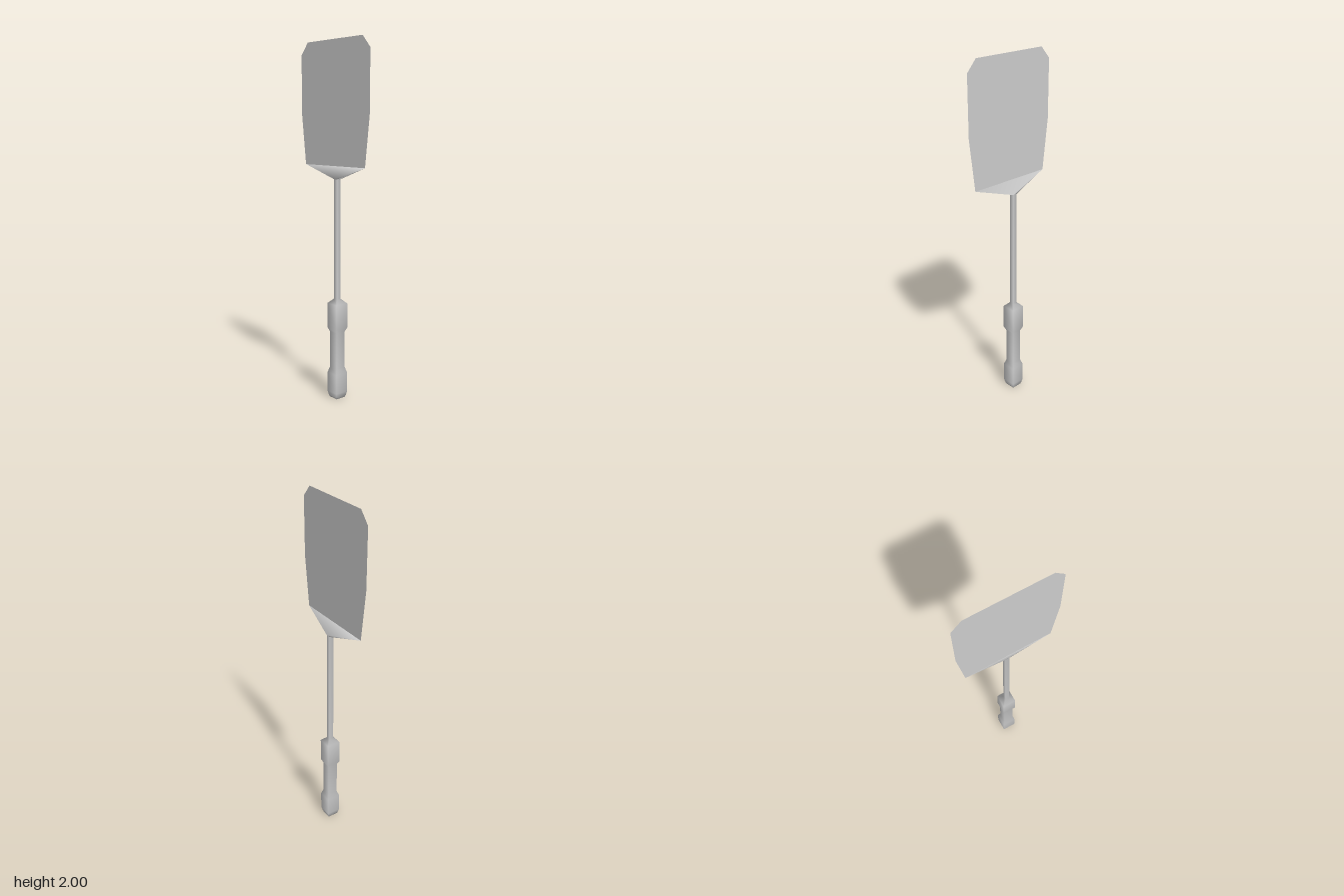
import * as THREE from 'three';

const material = new THREE.MeshStandardMaterial({ color: 0xcccccc });
const sheetMaterial = new THREE.MeshStandardMaterial({ color: 0xcccccc, side: THREE.DoubleSide });

// Square bar with softly shaded corners; profile is [half width, height]
function squareBar(name, profile) {
  const points = profile.map(([half, y]) => new THREE.Vector2(half * Math.SQRT2, y));
  const mesh = new THREE.Mesh(new THREE.LatheGeometry(points, 4, Math.PI / 4), material);
  mesh.name = name;
  return mesh;
}

export function createModel() {
  const group = new THREE.Group();
  group.name = 'spatula';

  // Grip with two swellings and a narrow waist, running on into the thin shaft
  group.add(squareBar('handleAndShaft', [
    [0, 0], [0.03, 0], [0.034, 0.01], [0.04, 0.035], [0.04, 0.145], [0.029, 0.18],
    [0.029, 0.385], [0.04, 0.41], [0.04, 0.55], [0.013, 0.577], [0.013, 1.25],
  ]));

  // Flat, paper-thin blade with cut corners
  const bladeX = -0.023, wingZ = 0.25, wingY = 1.323;
  const half = [[wingZ, wingY], [0.285, 1.61], [0.285, 1.935], [0.227, 2]];
  const outline = [...half, ...half.map(([z, y]) => [-z, y]).reverse()];
  const bladeShape = new THREE.Shape(outline.map(([z, y]) => new THREE.Vector2(z, y)));
  const blade = new THREE.Mesh(new THREE.ShapeGeometry(bladeShape), sheetMaterial);
  blade.name = 'blade';
  blade.rotation.y = -Math.PI / 2;
  blade.position.x = bladeX;
  group.add(blade);

  // Wedge that spreads from the square shaft end to the lower edge of the blade
  const s = 0.013, top = 1.25;
  const wedge = new THREE.BufferGeometry();
  wedge.setAttribute('position', new THREE.Float32BufferAttribute([
    s, top, s, s, top, -s, -s, top, -s, -s, top, s, // shaft end
    bladeX, wingY, wingZ, bladeX, wingY, -wingZ, // blade corners
  ], 3));
  wedge.setIndex([
    0, 1, 5, 0, 5, 4, // left face
    2, 3, 4, 2, 4, 5, // right face
    3, 0, 4, 1, 2, 5, // undersides
  ]);
  wedge.computeVertexNormals();
  const neck = new THREE.Mesh(wedge, material);
  neck.name = 'neck';
  group.add(neck);
  return group;
}
